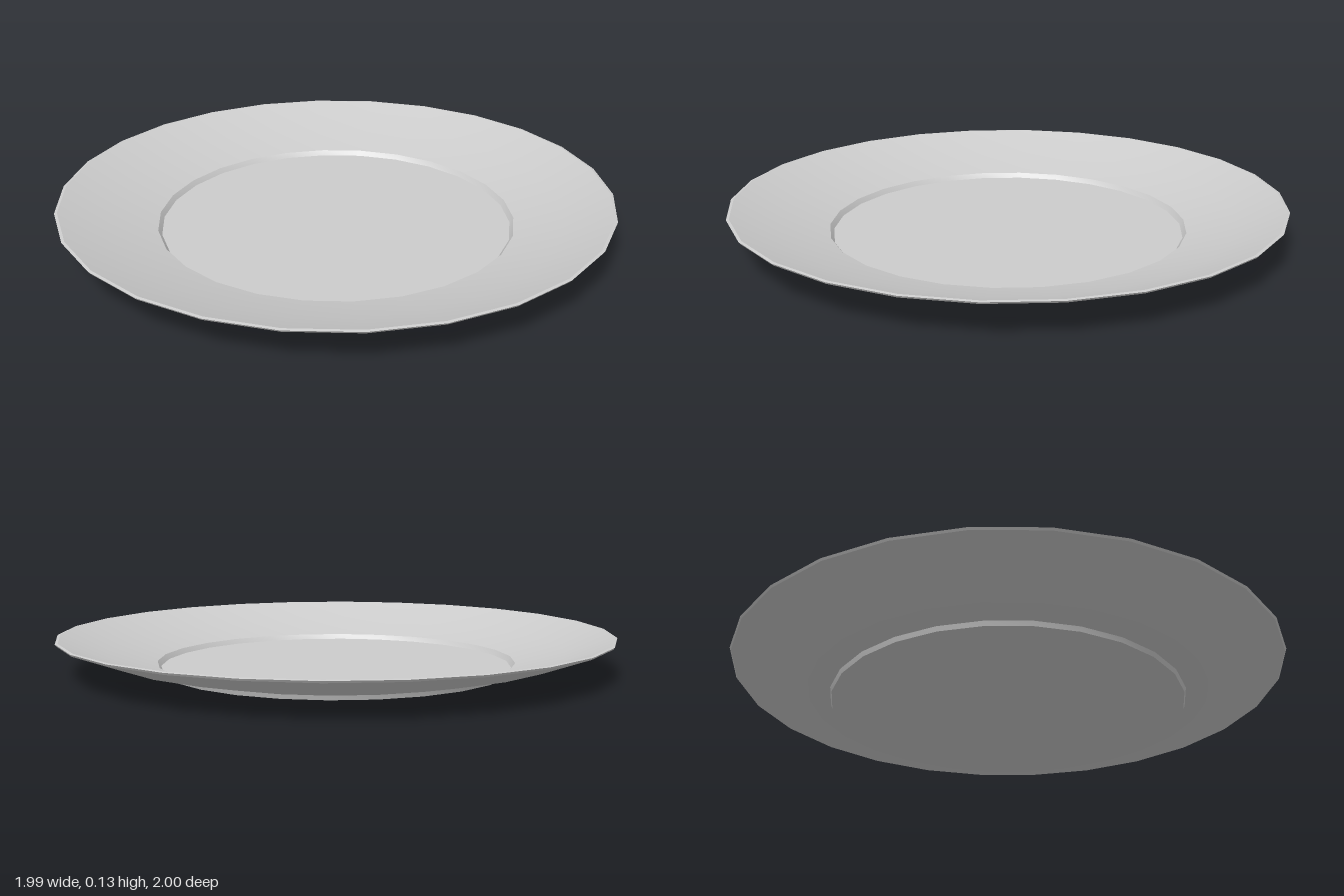
import * as THREE from 'three';
import { toCreasedNormals } from 'three/addons/utils/BufferGeometryUtils.js';

const SIDES = 26;

export function createModel() {
  const group = new THREE.Group();
  group.name = 'plate';
  const material = new THREE.MeshStandardMaterial({ color: 0xcccccc });

  // Closed section, from the centre of the underside out to the rim and back over the top
  const profile = [
    [0, 0], [0.638, 0], [0.644, 0.016], // flat base and low foot
    [0.825, 0.057], [0.995, 0.12],      // underside of the flared border
    [1, 0.127], [0.99, 0.129],          // thin lip
    [0.82, 0.068], [0.648, 0.028],      // upper border
    [0.635, 0.01], [0, 0.01],           // small step down to the recessed floor
  ].map(([r, y]) => new THREE.Vector2(r, y));

  const dish = new THREE.Mesh(
    toCreasedNormals(new THREE.LatheGeometry(profile, SIDES), 0.5),
    material
  );
  dish.name = 'dish';
  group.add(dish);
  return group;
}
